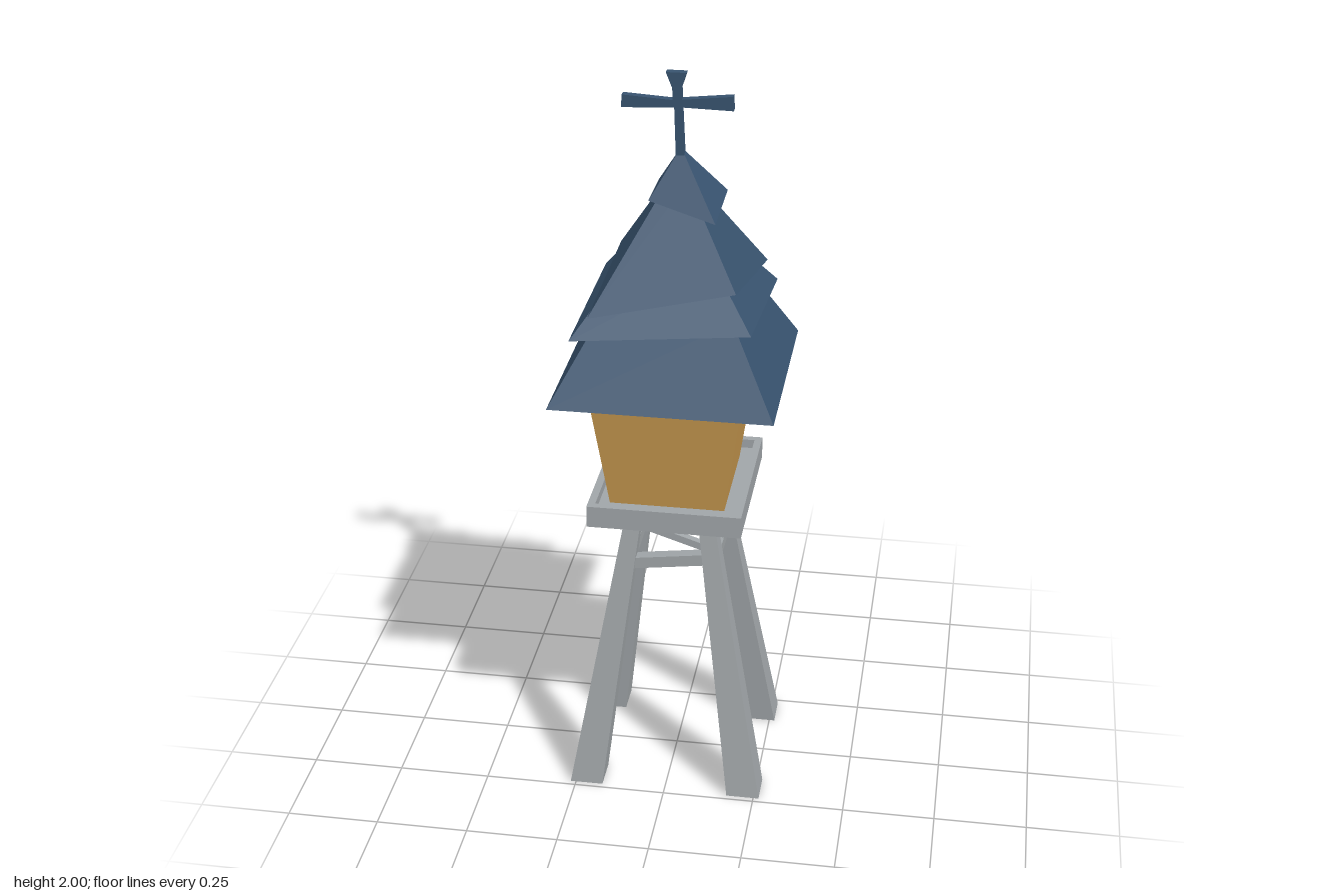
import * as THREE from 'three';

// Flat-sided solid between two four-corner rings (front-left, front-right, back-right, back-left)
function loft(lower, upper) {
  const pos = [];
  const quad = (a, b, c, d) => pos.push(...a, ...b, ...c, ...a, ...c, ...d);
  for (let i = 0; i < 4; i++) {
    const j = (i + 1) % 4;
    quad(lower[i], lower[j], upper[j], upper[i]);
  }
  quad(...upper);
  quad(lower[3], lower[2], lower[1], lower[0]);
  const g = new THREE.BufferGeometry();
  g.setAttribute('position', new THREE.Float32BufferAttribute(pos, 3));
  g.computeVertexNormals();
  return g;
}

// Level rectangle ring centred on x, z
const ring = (x, y, z, hx, hz = hx) => [
  [x - hx, y, z + hz], [x + hx, y, z + hz], [x + hx, y, z - hz], [x - hx, y, z - hz],
];

export function createModel() {
  const model = new THREE.Group();
  const mat = (name, color) => {
    const m = new THREE.MeshStandardMaterial({ color });
    m.name = name;
    return m;
  };
  const stone = mat('weathered grey', 0xa0a5a8);
  const wall = mat('ochre wall', 0xc8994f);
  const slate = mat('blue slate', 0x38536f);
  const add = (name, geometry, material, parent = model) => {
    const mesh = new THREE.Mesh(geometry, material);
    mesh.name = name;
    parent.add(mesh);
    return mesh;
  };

  // Four splayed, tapering legs
  const legs = new THREE.Group();
  legs.name = 'legs';
  model.add(legs);
  for (const sx of [-1, 1]) for (const sz of [-1, 1]) {
    add('leg', loft(
      ring(sx * 0.22, 0, sz * 0.19, 0.045),
      ring(sx * 0.094, 0.835, sz * 0.106, 0.021)), stone, legs);
  }

  // Braces: one rail and one diagonal on each side of the frame
  const braces = new THREE.Group();
  braces.name = 'braces';
  model.add(braces);
  const legAt = (sx, y, sz) => new THREE.Vector3(
    sx * (0.22 - 0.151 * y), y, sz * (0.19 - 0.101 * y));
  const brace = (name, a, b, size) => {
    const mesh = add(name, new THREE.BoxGeometry(size, size, a.distanceTo(b)), stone, braces);
    mesh.position.copy(a).add(b).multiplyScalar(0.5);
    mesh.lookAt(b);
  };
  // Corner signs of each side, then rail heights and diagonal heights
  const sides = [
    [[-1, 1], [1, 1], 0.665, 0.695, 0.785, 0.72],
    [[1, 1], [1, -1], 0.69, 0.68, 0.715, 0.81],
    [[1, -1], [-1, -1], 0.70, 0.68, 0.72, 0.80],
    [[-1, -1], [-1, 1], 0.65, 0.645, 0.715, 0.79],
  ];
  for (const [a, b, r0, r1, d0, d1] of sides) {
    brace('rail', legAt(a[0], r0, a[1]), legAt(b[0], r1, b[1]), 0.032);
    brace('diagonal', legAt(a[0], d0, a[1]), legAt(b[0], d1, b[1]), 0.02);
  }

  // Platform tray with raised rim
  const rect = (P, hx, hz) => {
    const p = new P();
    p.moveTo(-hx, -hz);
    p.lineTo(hx, -hz);
    p.lineTo(hx, hz);
    p.lineTo(-hx, hz);
    p.closePath();
    return p;
  };
  const rim = rect(THREE.Shape, 0.204, 0.231);
  rim.holes.push(rect(THREE.Path, 0.184, 0.211));
  const rimGeo = new THREE.ExtrudeGeometry(rim, { depth: 0.06, bevelEnabled: false });
  rimGeo.rotateX(-Math.PI / 2).translate(0, 0.825, 0.002);
  add('platformRim', rimGeo, stone);
  const floor = add('platformFloor', new THREE.BoxGeometry(0.37, 0.035, 0.424), stone);
  floor.position.set(0, 0.8425, 0.002);

  // Chamber widening upwards
  add('chamber', loft(ring(-0.003, 0.855, 0, 0.152, 0.156), ring(-0.002, 1.192, 0, 0.2)), wall);

  // Crooked overlapping roof tiers: eave corners, peak, how far the sides run to the peak
  const tiers = [
    [ring(-0.001, 1.19, 0, 0.29), [0, 1.71, 0], 0.42],
    [[[-0.24, 1.36, 0.237], [0.22, 1.395, 0.217], [0.235, 1.362, -0.236], [-0.23, 1.38, -0.23]],
      [0, 1.68, 0], 0.5],
    [[[-0.196, 1.415, 0.214], [0.175, 1.487, 0.172], [0.21, 1.426, -0.212], [-0.182, 1.46, -0.198]],
      [0.005, 1.765, 0], 0.85],
    [[[-0.064, 1.68, 0.06], [0.11, 1.635, 0.085], [0.117, 1.663, -0.091], [-0.06, 1.685, -0.085]],
      [0.01, 1.805, 0], 0.94],
  ];
  const roof = new THREE.Group();
  roof.name = 'roof';
  model.add(roof);
  for (const [eave, peak, t] of tiers) {
    const top = eave.map((p) => p.map((v, k) => v + (peak[k] - v) * t));
    add('roofTier', loft(eave, top), slate, roof);
  }

  // Finial cross with flared, slightly tilted arms
  const outline = [
    [-0.002, 1.78], [0.02, 1.78], [0.014, 1.911], [0.143, 1.908], [0.141, 1.945],
    [0.013, 1.931], [0.012, 1.96], [0.025, 2], [-0.027, 2], [-0.011, 1.96],
    [-0.01, 1.929], [-0.138, 1.937], [-0.14, 1.904], [-0.006, 1.91],
  ];
  const cross = new THREE.Shape(outline.map(([x, y]) => new THREE.Vector2(x, y)));
  const crossGeo = new THREE.ExtrudeGeometry(cross, { depth: 0.021, bevelEnabled: false });
  add('finial', crossGeo.translate(0, 0, -0.0115), slate);

  return model;
}
